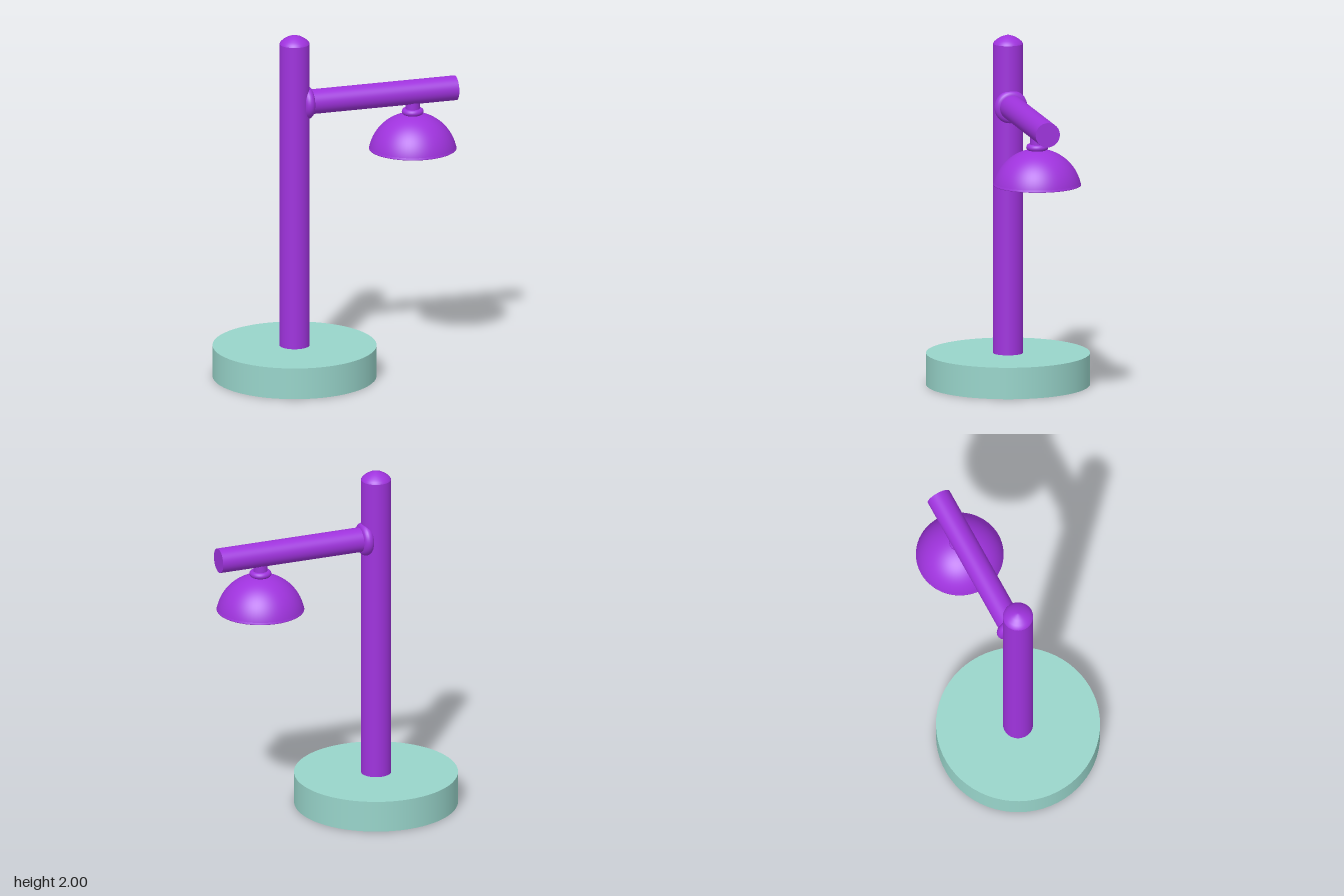
import * as THREE from 'three';

const purple = new THREE.MeshStandardMaterial({ color: 0x9f33dd });
const teal = new THREE.MeshStandardMaterial({ color: 0x98d4ca });

function add(parent, name, geometry, material, x = 0, y = 0, z = 0) {
  const mesh = new THREE.Mesh(geometry, material);
  mesh.name = name;
  mesh.position.set(x, y, z);
  parent.add(mesh);
  return mesh;
}

const lathe = (points) =>
  new THREE.LatheGeometry(points.map(([r, y]) => new THREE.Vector2(r, y)), 64);

export function createModel() {
  const lamp = new THREE.Group();
  lamp.name = 'lamp';

  // Everything is built around the post axis, then shifted to centre the model
  const body = new THREE.Group();
  body.name = 'body';
  body.position.set(-0.205, 0, -0.065);
  lamp.add(body);

  // Base and post
  add(body, 'base', new THREE.CylinderGeometry(0.462, 0.462, 0.18, 64), teal, 0, 0.09, 0);
  add(body, 'post', new THREE.CylinderGeometry(0.085, 0.085, 1.775, 48, 1, true), purple, 0, 1.0625, 0);
  add(body, 'postCap', lathe([[0.085, 1.95], [0.08, 1.96], [0.065, 1.974], [0.04, 1.989], [0.015, 1.998], [0, 2]]), purple);

  // Arm assembly, swung towards the front left
  const armGroup = new THREE.Group();
  armGroup.name = 'armAssembly';
  armGroup.position.y = 1.6;
  armGroup.rotation.y = -THREE.MathUtils.degToRad(29.2);
  body.add(armGroup);

  const arm = add(armGroup, 'arm', new THREE.CylinderGeometry(0.07, 0.07, 0.916, 48), purple, 0.498, 0, 0);
  arm.rotation.z = -Math.PI / 2;
  const collar = add(armGroup, 'collar', new THREE.TorusGeometry(0.065, 0.03, 20, 48), purple, 0.07, 0, 0);
  collar.rotation.y = Math.PI / 2;

  // Hanging shade: neck, ring, dome, rim and diffuser
  const shade = new THREE.Group();
  shade.name = 'shadeAssembly';
  shade.position.set(0.702, -0.33, 0);
  armGroup.add(shade);

  add(shade, 'neck', new THREE.CylinderGeometry(0.04, 0.04, 0.11, 32), purple, 0, 0.235, 0);
  const ring = add(shade, 'neckRing', new THREE.TorusGeometry(0.044, 0.018, 16, 40), purple, 0, 0.216, 0);
  ring.rotation.x = Math.PI / 2;

  // Dome is a spherical cap
  const R = 0.251;
  const openAngle = Math.acos((R - 0.192) / R);
  add(shade, 'dome', new THREE.SphereGeometry(R, 64, 24, 0, Math.PI * 2, 0, openAngle), purple, 0, 0.204 - R, 0);
  add(shade, 'rim', lathe([[0.238, 0.002], [0.242, 0], [0.247, 0], [0.247, 0.003], [0.243, 0.013]]), purple);
  add(shade, 'diffuser', lathe([[0, 0.012], [0.12, 0.009], [0.24, 0.002]]), teal).material =
    new THREE.MeshStandardMaterial({ color: 0x98d4ca, side: THREE.DoubleSide });

  return lamp;
}
